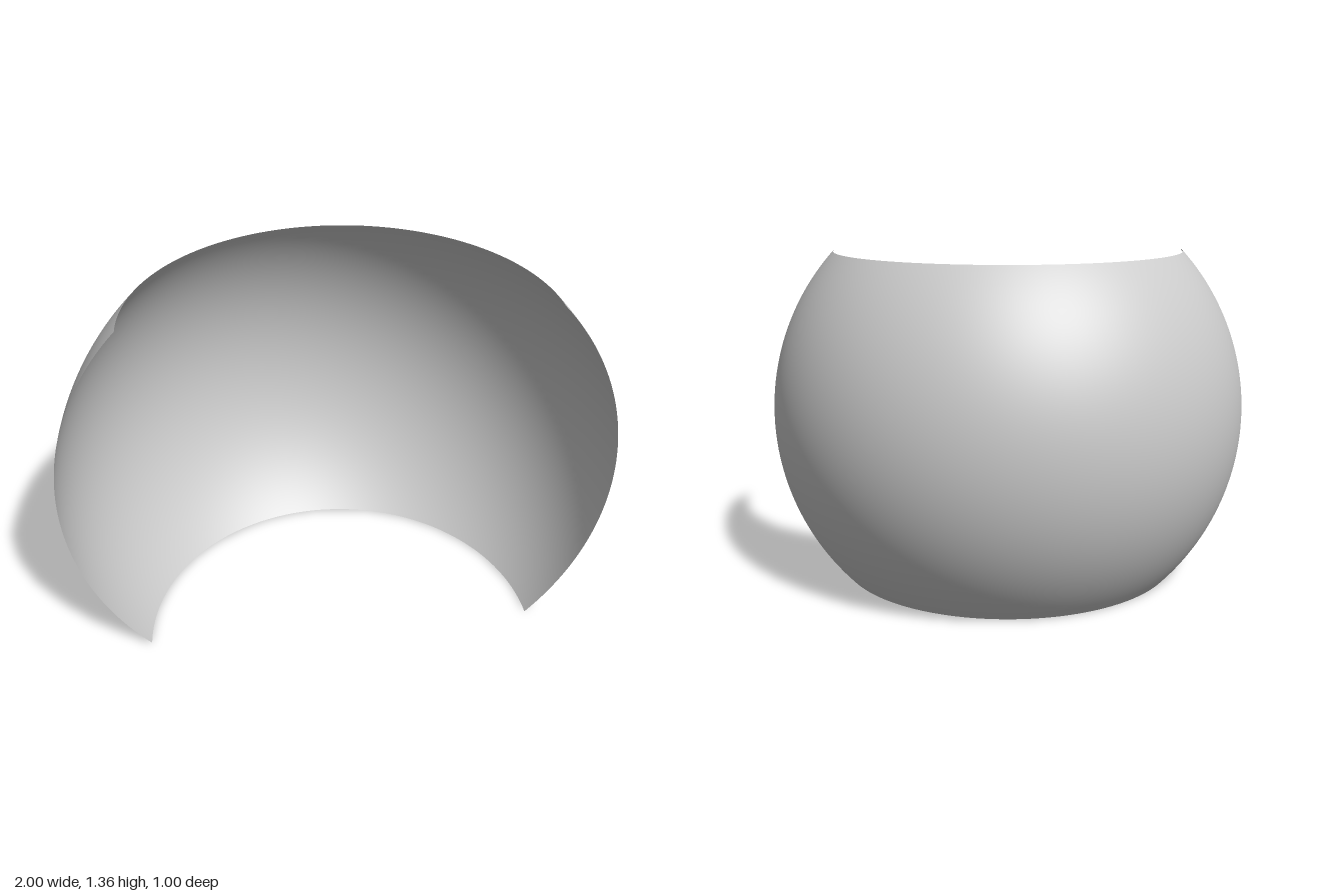
import * as THREE from 'three';

export function createModel() {
  const group = new THREE.Group();
  group.name = 'curvedScreen';

  // Band of a unit sphere: rear half turn, 43 degrees above and below the equator
  const halfBand = THREE.MathUtils.degToRad(43);
  const geometry = new THREE.SphereGeometry(
    1, 96, 48,
    Math.PI, Math.PI,
    Math.PI / 2 - halfBand, 2 * halfBand
  );
  const material = new THREE.MeshStandardMaterial({ color: 0xcccccc, side: THREE.DoubleSide });

  // Thin open shell, lower rim on the ground, open side to the front
  const shell = new THREE.Mesh(geometry, material);
  shell.name = 'sphericalShell';
  shell.position.set(0, Math.sin(halfBand), 0.5);
  group.add(shell);

  return group;
}
